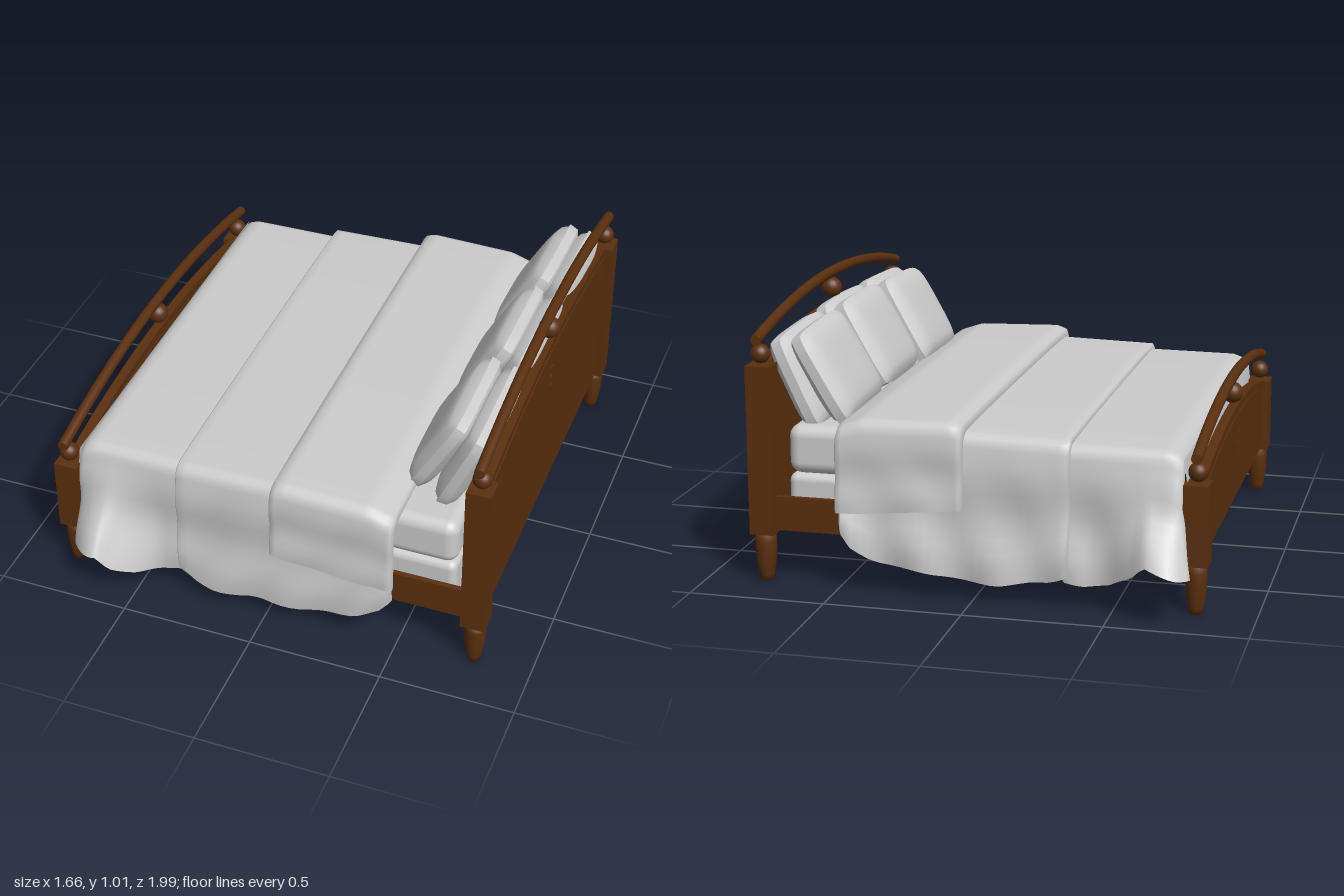
import * as THREE from 'three';
import { RoundedBoxGeometry } from 'three/addons/geometries/RoundedBoxGeometry.js';

const wood = new THREE.MeshStandardMaterial({ color: 0x5a2f10 });
const linen = new THREE.MeshStandardMaterial({ color: 0xcccccc });
const cloth = new THREE.MeshStandardMaterial({ color: 0xcccccc, side: THREE.DoubleSide });
const { lerp, smoothstep } = THREE.MathUtils;

function add(parent, name, geometry, material, x = 0, y = 0, z = 0) {
  const mesh = new THREE.Mesh(geometry, material);
  mesh.name = name;
  mesh.position.set(x, y, z);
  parent.add(mesh);
  return mesh;
}

// Smooth surface through rows of equal-length [x, y, z] points
function gridSurface(rows) {
  const n = rows[0].length, index = [];
  for (let i = 0; i < rows.length - 1; i++) {
    for (let j = 0; j < n - 1; j++) {
      const a = i * n + j, b = a + n;
      index.push(a, a + 1, b, b, a + 1, b + 1);
    }
  }
  const g = new THREE.BufferGeometry();
  g.setAttribute('position', new THREE.Float32BufferAttribute(rows.flat(2), 3));
  g.setIndex(index);
  g.computeVertexNormals();
  return g;
}

// Piecewise linear lookup in [[x, y], ...]
function sample(table, x) {
  let i = 1;
  while (i < table.length - 1 && x > table[i][0]) i++;
  const [a, b] = [table[i - 1], table[i]];
  return lerp(a[1], b[1], THREE.MathUtils.clamp((x - a[0]) / (b[0] - a[0]), 0, 1));
}

// Arched board with its lower edge at y0, corners at y1 and crown at y2
function archedPanel(z0, z1, y0, y1, y2, depth) {
  const arch = z => lerp(y2, y1, (z / 0.76) ** 2);
  const s = new THREE.Shape();
  s.moveTo(z0, y0);
  s.lineTo(z1, y0);
  for (let i = 0; i <= 24; i++) {
    const z = lerp(z1, z0, i / 24);
    s.lineTo(z, arch(z));
  }
  s.closePath();
  const g = new THREE.ExtrudeGeometry(s, { depth, bevelEnabled: false });
  return g.translate(0, 0, -depth / 2).rotateY(-Math.PI / 2);
}

// Head or foot end: board, posts, turned legs, ball finials and bowed rail
function bedEnd(name, x, top) {
  const g = new THREE.Group();
  g.name = name;
  g.position.x = x;
  add(g, 'board', archedPanel(-0.76, 0.76, 0.19, top, top + 0.075, 0.036), wood);
  const leg = new THREE.LatheGeometry([[0, 0], [0.022, 0], [0.028, 0.025], [0.035, 0.07], [0.039, 0.12],
    [0.039, 0.15], [0.036, 0.18], [0, 0.18]].map(p => new THREE.Vector2(...p)), 20);
  for (const s of [-1, 1]) {
    const [a, b] = s > 0 ? [0.006, 0.715] : [-0.715, -0.006];
    add(g, 'raisedPanel', archedPanel(a, b, 0.225, top - 0.03, top + 0.045, 0.044), wood);
    add(g, 'post', new THREE.BoxGeometry(0.09, top - 0.18, 0.09), wood, 0, (top + 0.18) / 2, s * 0.79);
    add(g, 'leg', leg, wood, 0, 0, s * 0.79);
    add(g, 'postFinial', new THREE.SphereGeometry(0.035, 20, 14), wood, 0, top + 0.039, s * 0.79);
    for (let i = 0; i < 3; i++) {
      add(g, 'peg', new THREE.BoxGeometry(0.006, 0.012, 0.03), wood, s * 0.023, top - 0.03 - i * 0.04, 0.025);
    }
  }
  add(g, 'centreFinial', new THREE.SphereGeometry(0.04, 20, 14), wood, 0, top + 0.13, 0);
  const path = [];
  for (let i = 0; i <= 12; i++) {
    const t = i / 6 - 1;
    path.push(new THREE.Vector3(0, top + 0.19 - 0.095 * t * t, t * 0.835));
  }
  const curve = new THREE.CatmullRomCurve3(path);
  add(g, 'bowedRail', new THREE.TubeGeometry(curve, 32, 0.02, 12), wood);
  for (const p of [path[0], path[12]]) {
    const cap = add(g, 'railCap', new THREE.CircleGeometry(0.02, 12), wood, p.x, p.y, p.z);
    if (p.z < 0) cap.rotation.y = Math.PI;
  }
  return g;
}

// Cover draped across the bed; its ends are rolled under for thickness
function drape({ x0, x1, top, hem, side, flare = () => [0, 0], ripple, roll }) {
  const stations = [[x0 + 0.004, roll], [x0, roll * 0.4]];
  for (let i = 0; i <= 24; i++) stations.push([lerp(x0 + 0.008, x1 - 0.008, i / 24), 0]);
  stations.push([x1, roll * 0.4], [x1 - 0.004, roll]);
  const rows = stations.map(([x, inset]) => {
    const half = s => {
      const yTop = sample(top, x) - inset, w = side - inset, r = 0.05;
      const pts = [0.2, 0.4, 0.6, w - r].map(z => [x, yTop - 0.008 * (z / w) ** 4, s * z]);
      for (let k = 1; k <= 4; k++) {
        const a = k * Math.PI / 8;
        pts.push([x, yTop - 0.008 - r * (1 - Math.cos(a)), s * (w - r + r * Math.sin(a))]);
      }
      const yStart = yTop - 0.008 - r, yHem = sample(hem, x) + 0.2 * ripple * Math.sin(x * 17 + s);
      for (let k = 1; k <= 9; k++) {
        const t = k / 9, [fx, fz] = flare(x, s);
        const wave = ripple * t * (0.6 + 0.4 * Math.sin(x * 23 + t * 5 + s)) + ripple * 0.3 * Math.sin(t * 9);
        pts.push([x + fx * t * t, lerp(yStart, yHem, t), s * (w + wave + fz * t ** 1.6)]);
      }
      return pts;
    };
    return [...half(-1).reverse(), [x, sample(top, x) - inset, 0], ...half(1)];
  });
  return gridSurface(rows);
}

// Cushion: a box thinned towards its four seams, with rounded corners
function pillowGeometry(w, h, d) {
  const g = new THREE.BoxGeometry(2, 2, 2, 2, 14, 14);
  const p = g.attributes.position;
  for (let i = 0; i < p.count; i++) {
    const [x, y, z] = [p.getX(i), p.getY(i), p.getZ(i)];
    const puff = 0.3 + 0.7 * Math.sqrt((1 - y ** 4) * (1 - z ** 4));
    const corner = 1 - 0.06 * (y * z) ** 4;
    p.setXYZ(i, x * puff * d / 2, y * corner * h / 2, z * corner * w / 2);
  }
  g.computeVertexNormals();
  return g;
}

export function createModel() {
  const bed = new THREE.Group();
  bed.name = 'bed';

  // Wooden frame
  bed.add(bedEnd('headboard', 0.785, 0.8), bedEnd('footboard', -0.785, 0.47));
  for (const s of [-1, 1]) {
    add(bed, 'sideRail', new THREE.BoxGeometry(1.5, 0.125, 0.02), wood, 0, 0.255, s * 0.79);
  }

  // Head end of the mattress and its base; the covers are hollow beyond it
  add(bed, 'baseMattress', new RoundedBoxGeometry(0.27, 0.18, 1.55, 4, 0.03), linen, 0.565, 0.31, 0);
  add(bed, 'mattress', new RoundedBoxGeometry(0.27, 0.18, 1.56, 4, 0.045), linen, 0.565, 0.488, 0);

  // Sheet over the foot, with flared corners
  add(bed, 'sheet', drape({
    x0: -0.74, x1: -0.32, side: 0.81, ripple: 0.025, roll: 0.02,
    top: [[-0.74, 0.54], [-0.715, 0.57], [-0.68, 0.582], [-0.32, 0.585]],
    hem: [[-0.74, 0.17], [-0.61, 0.205], [-0.57, 0.15], [-0.49, 0.1], [-0.4, 0.085], [-0.32, 0.09]],
    flare: (x, s) => {
      const peak = s > 0 ? -0.62 : -0.69;
      const out = smoothstep(x, -0.82, peak) * (1 - smoothstep(x, peak, -0.4));
      return [s < 0 ? -0.045 * (1 - smoothstep(x, -0.73, -0.5)) : 0, 0.17 * out];
    },
  }), cloth);

  // Sheet end hanging inside the footboard
  const flap = [];
  for (let i = 0; i <= 8; i++) {
    const t = i / 8, row = [];
    for (let j = 0; j <= 24; j++) {
      const z = lerp(-0.8, 0.8, j / 24);
      row.push([-0.735 - 0.015 * Math.sin(t * Math.PI) - 0.008 * t * (1 + Math.sin(z * 14)), lerp(0.545, 0.2, t), z]);
    }
    flap.push(row);
  }
  add(bed, 'sheetEnd', gridSurface(flap), cloth);

  // Wide blanket, and the folded cover on top of it
  add(bed, 'blanket', drape({
    x0: -0.345, x1: 0.485, side: 0.835, ripple: 0.03, roll: 0.025,
    top: [[-0.345, 0.602], [0.05, 0.612], [0.48, 0.6]],
    hem: [[-0.345, 0.12], [-0.28, 0.085], [-0.1, 0.07], [0.15, 0.085], [0.36, 0.125], [0.45, 0.17], [0.485, 0.22]],
  }), cloth);
  add(bed, 'foldedCover', drape({
    x0: 0.03, x1: 0.495, side: 0.872, ripple: 0.012, roll: 0.035,
    top: [[0.03, 0.635], [0.07, 0.652], [0.4, 0.643], [0.495, 0.61]],
    hem: [[0.03, 0.335], [0.25, 0.315], [0.495, 0.295]],
  }), cloth);

  // Two rows of three pillows leaning on the headboard
  const pillows = [
    ['frontPillow', 0.44, [[0.59, 0.745, -0.52], [0.59, 0.76, -0.045], [0.57, 0.75, 0.42]], -0.52],
    ['backPillow', 0.47, [[0.68, 0.725, -0.51], [0.68, 0.74, -0.02], [0.67, 0.735, 0.45]], -0.42],
  ];
  for (const [name, width, places, tilt] of pillows) {
    const shape = pillowGeometry(width, 0.36, 0.12);
    places.forEach(([x, y, z], i) => {
      add(bed, name, shape, linen, x, y, z).rotation.set((i - 1) * 0.04, 0, tilt);
    });
  }
  return bed;
}
